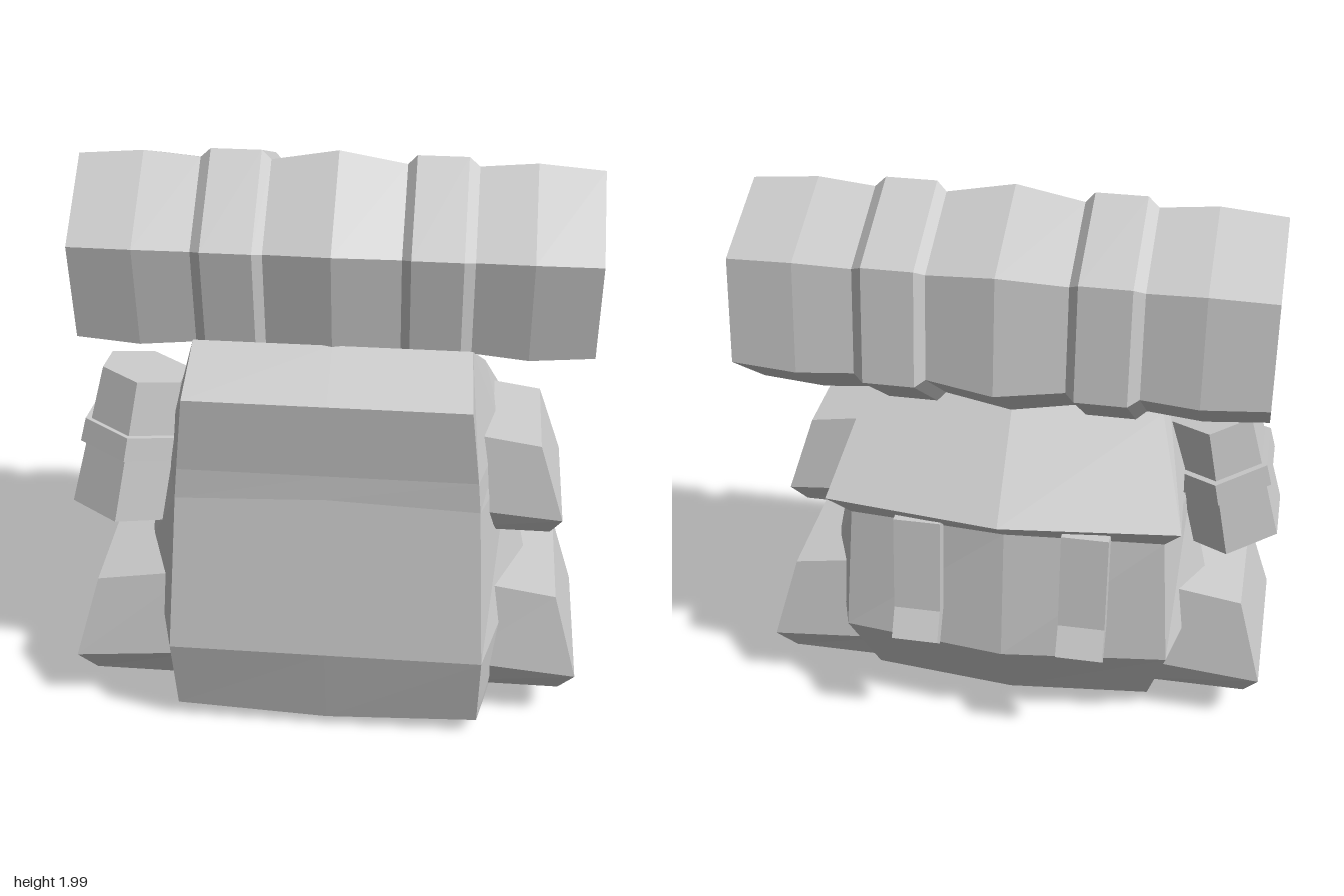
import * as THREE from 'three';

const material = new THREE.MeshStandardMaterial({ color: 0xcccccc, flatShading: true });

function add(parent, name, geometry) {
  const mesh = new THREE.Mesh(geometry, material);
  mesh.name = name;
  parent.add(mesh);
  return mesh;
}

// Skin a stack of rings (bottom to top, counter-clockwise from above) with fan caps.
function loft(rings, bottomCentre, topCentre) {
  const n = rings[0].length, pos = [];
  const tri = (...pts) => pts.forEach(p => pos.push(...p));
  const mean = ring => [0, 1, 2].map(k => ring.reduce((sum, p) => sum + p[k], 0) / n);
  const last = rings[rings.length - 1];
  const low = bottomCentre || mean(rings[0]), high = topCentre || mean(last);
  for (let i = 0; i < n; i++) {
    const j = (i + 1) % n;
    for (let l = 0; l < rings.length - 1; l++) {
      const [a, b, c, d] = [rings[l][i], rings[l][j], rings[l + 1][j], rings[l + 1][i]];
      tri(a, b, c, a, c, d);
    }
    tri(low, rings[0][j], rings[0][i]);
    tri(high, last[i], last[j]);
  }
  const g = new THREE.BufferGeometry();
  g.setAttribute('position', new THREE.Float32BufferAttribute(pos, 3));
  g.computeVertexNormals();
  return g;
}

// Main bag: each level gives front centre, front corner, side, back corner, back centre.
function bagGeometry() {
  const levels = [
    [[0, 0.05, 0.41], [0.53, 0.075, 0.41], [0.57, 0.04, 0.18], [0.50, 0.075, -0.17], [0, 0.055, -0.2]],
    [[0, 0.38, 0.48], [0.535, 0.38, 0.48], [0.68, 0.5, 0], [0.57, 0.36, -0.31], [0, 0.36, -0.38]],
    [[0, 0.96, 0.395], [0.505, 0.94, 0.395], [0.6, 0.88, 0], [0.54, 0.83, -0.27], [0, 0.83, -0.31]],
    [[0, 1.05, 0.392], [0.495, 1.05, 0.392], [0.575, 1.02, 0], [0.6, 0.94, -0.36], [0, 0.94, -0.43]],
    [[0, 1.32, 0.41], [0.465, 1.32, 0.41], [0.455, 1.43, 0.2], [0.5, 1.24, -0.1], [0, 1.26, -0.12]],
  ];
  const rings = levels.map(half => [
    ...half,
    ...half.slice(1, 4).reverse().map(([x, y, z]) => [-x, y, z]),
  ]);
  return loft(rings, [0, 0.01, 0.18], [0, 1.43, 0.2]);
}

// Side pouch: levels of [inner x, inner y, outer x, outer y, half depth].
function pouchGeometry(levels, z, side) {
  const rings = levels.map(([xi, yi, xo, yo, h]) => {
    const ring = [[xi, yi, z + h], [xo, yo, z + h], [xo, yo, z - h], [xi, yi, z - h]];
    return side > 0 ? ring : ring.map(([x, y, zz]) => [-x, y, zz]).reverse();
  });
  return loft(rings);
}

// Rolled mat: six-sided lathe with two raised bands and coiled ends.
function rollGeometry() {
  const half = [
    [0, 0.81], [0.08, 0.77], [0.165, 0.81], [0.26, 0.77], [0.345, 0.848],
    [0.363, 0.635], [0.345, 0.45], [0.378, 0.415], [0.378, 0.25], [0.345, 0.22],
  ];
  const profile = [
    ...half.map(([r, x]) => new THREE.Vector2(r, -x)),
    new THREE.Vector2(0.386, 0),
    ...half.slice().reverse().map(([r, x]) => new THREE.Vector2(r, x)),
  ];
  // One corner points nearly straight up once the axis lies along x.
  return new THREE.LatheGeometry(profile, 6).rotateY(Math.PI / 2).rotateZ(-Math.PI / 2)
    .rotateX(0.135);
}

// Back strap: bent side profile swept across its width.
function strapGeometry(width) {
  const shape = new THREE.Shape([
    [0.31, 0.89], [0.37, 0.89], [0.415, 0.55], [0.47, 0.455], [0.43, 0.42], [0.36, 0.53],
  ].map(([back, y]) => new THREE.Vector2(back, y)));
  return new THREE.ExtrudeGeometry(shape, { depth: width, bevelEnabled: false })
    .translate(0, 0, -width / 2).rotateY(Math.PI / 2);
}

export function createModel() {
  const model = new THREE.Group();
  model.name = 'backpack';

  add(model, 'bag', bagGeometry()).position.x = 0.015;

  const roll = add(model, 'sleepingRoll', rollGeometry());
  roll.position.set(0.015, 1.617, -0.107);

  for (const x of [-0.27, 0.3]) add(model, 'shoulderStrap', strapGeometry(0.16)).position.x = x;

  // Pouches
  const lower = [
    [0.45, 0.12, 0.83, 0.12, 0.22], [0.45, 0.27, 0.88, 0.23, 0.295], [0.45, 0.585, 0.795, 0.53, 0.24],
  ];
  const upper = [
    [0.45, 0.76, 0.76, 0.76, 0.17], [0.45, 0.88, 0.795, 0.85, 0.238], [0.45, 1.15, 0.71, 1.11, 0.195],
  ];
  add(model, 'lowerPouchLeft', pouchGeometry(lower, 0.035, 1));
  add(model, 'lowerPouchRight', pouchGeometry(lower, 0.075, -1));
  add(model, 'upperPouchLeft', pouchGeometry(upper, 0.045, 1));

  // Flask with a band, leaning outward on the right side
  const flask = new THREE.Group();
  flask.name = 'flask';
  add(flask, 'flaskBody', new THREE.CylinderGeometry(0.155, 0.195, 0.51, 6));
  add(flask, 'flaskBand', new THREE.CylinderGeometry(0.192, 0.198, 0.085, 6)).position.y = 0.02;
  flask.position.set(-0.685, 0.97, 0.05);
  flask.rotation.set(-0.14, 0, -0.17);
  model.add(flask);

  return model;
}
